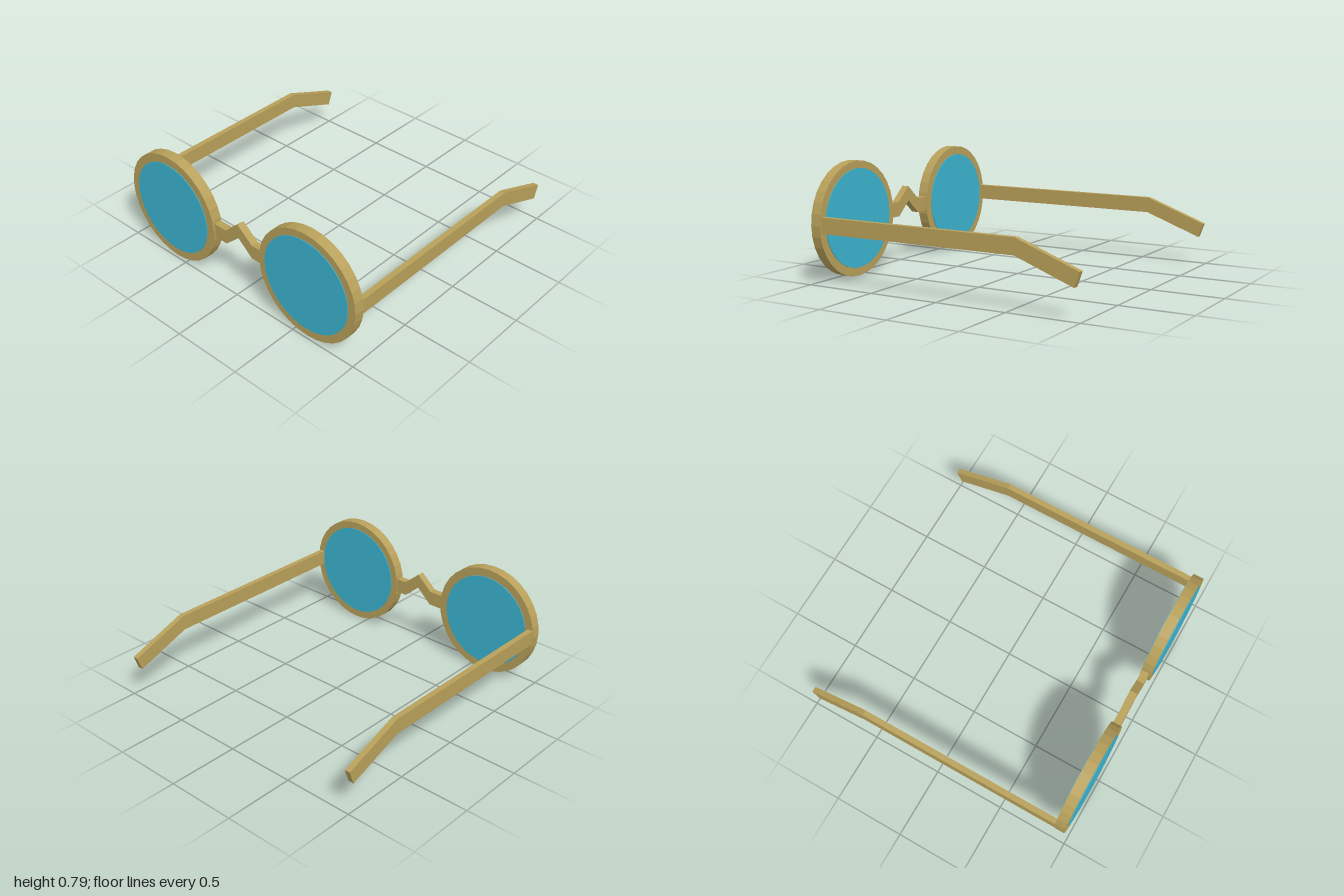
import * as THREE from 'three';

const gold = new THREE.MeshStandardMaterial({ name: 'antique gold', color: 0xb8a05a });
const blue = new THREE.MeshStandardMaterial({ name: 'lens blue', color: 0x3cb4d0 });

// Solid plate: a flat outline given thickness
function plate(points, depth) {
  const shape = new THREE.Shape(points.map(([x, y]) => new THREE.Vector2(x, y)));
  return new THREE.ExtrudeGeometry(shape, { depth, bevelEnabled: false });
}

export function createModel() {
  const model = new THREE.Group();
  model.name = 'roundGlasses';

  function add(name, geometry, material) {
    const mesh = new THREE.Mesh(geometry, material);
    mesh.name = name;
    model.add(mesh);
    return mesh;
  }

  const sides = [
    { name: 'right', x: -0.603, lensX: -0.604, lensY: 0.4, lensR: 0.337, templeX: -0.995 },
    { name: 'left', x: 0.603, lensX: 0.6, lensY: 0.403, lensR: 0.343, templeX: 0.947 },
  ];

  for (const s of sides) {
    // Rim: faceted ring around the lens
    const ring = new THREE.Shape().absarc(s.x, 0.4, 0.397, 0, Math.PI * 2);
    ring.holes.push(new THREE.Path().absarc(s.lensX, s.lensY, s.lensR - 0.01, 0, Math.PI * 2, true));
    const rimGeometry = new THREE.ExtrudeGeometry(ring, { depth: 0.073, bevelEnabled: false, curveSegments: 16 });
    add(s.name + 'Rim', rimGeometry, gold).position.z = 0.907;

    // Lens: disc standing slightly proud of the rim on both faces
    const lensGeometry = new THREE.CylinderGeometry(s.lensR, s.lensR, 0.083, 32).rotateX(Math.PI / 2);
    add(s.name + 'Lens', lensGeometry, blue).position.set(s.lensX, s.lensY, 0.943);

    // Temple: straight arm with a drooping tip, drawn as (-z, y) and turned to run backwards
    const templeGeometry = plate([
      [-0.91, 0.35], [0.55, 0.35], [0.95, 0.2], [0.985, 0.297], [0.555, 0.458], [-0.91, 0.458],
    ], 0.039).rotateY(Math.PI / 2);
    add(s.name + 'Temple', templeGeometry, gold).position.x = s.templeX;
  }

  // Bridge: peaked bar between the rims
  const bridgeGeometry = plate([
    [-0.215, 0.35], [-0.105, 0.35], [0.01, 0.452], [0.125, 0.35], [0.215, 0.35],
    [0.215, 0.454], [0.13, 0.454], [0.01, 0.556], [-0.105, 0.454], [-0.215, 0.454],
  ], 0.053);
  add('bridge', bridgeGeometry, gold).position.z = 0.913;

  return model;
}
